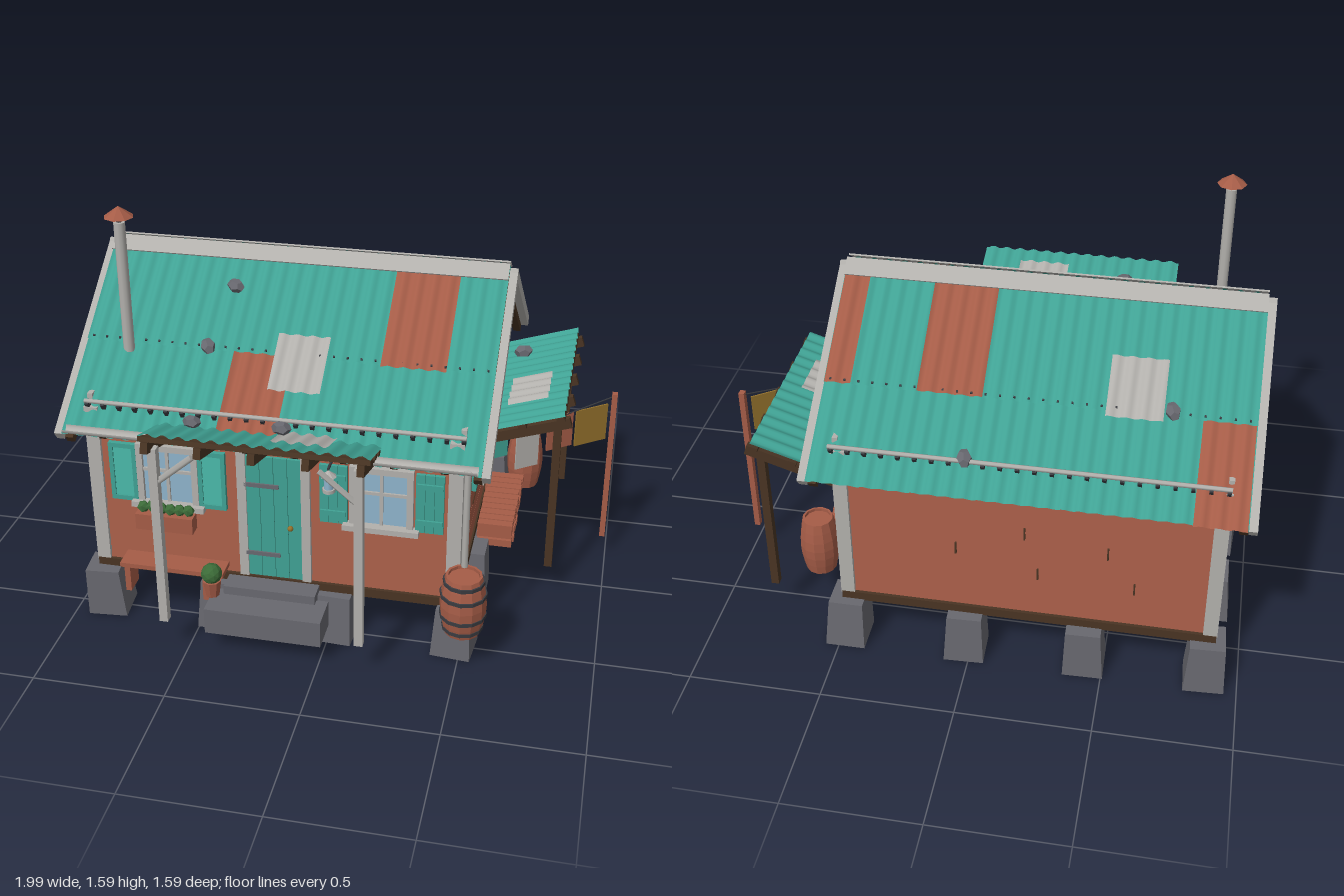
import * as THREE from 'three';

const mat = (name, color, side = THREE.FrontSide) => {
  const m = new THREE.MeshStandardMaterial({ color, side });
  m.name = name;
  return m;
};
const RUST = mat('rust red', 0xa55c47, THREE.DoubleSide);
const TEAL = mat('teal', 0x40a294, THREE.DoubleSide);
const TRIM = mat('pale grey', 0xb2b0ac, THREE.DoubleSide);
const DARK = mat('dark wood', 0x493423);
const STONE = mat('stone grey', 0x68686f);
const GLASS = mat('window blue', 0x8fb4cc);
const GOLD = mat('mustard', 0x94712c, THREE.DoubleSide);
const LEAF = mat('leaf green', 0x3c6b38);
const IRON = mat('dark iron', 0x3a3b40);

let seed = 7;
const rand = () => (seed = (seed * 16807) % 2147483647) / 2147483647;
const flat = (g) => { const n = g.index ? g.toNonIndexed() : g; n.computeVertexNormals(); return n; };

function add(parent, name, geo, material, x = 0, y = 0, z = 0) {
  const m = new THREE.Mesh(geo, material);
  m.name = name;
  m.position.set(x, y, z);
  parent.add(m);
  return m;
}
const box = (p, name, m, w, h, d, x, y, z) => add(p, name, new THREE.BoxGeometry(w, h, d), m, x, y, z);
function group(parent, name, x = 0, y = 0, z = 0, rx = 0, ry = 0) {
  const g = new THREE.Group();
  g.name = name;
  g.position.set(x, y, z);
  g.rotation.set(rx, ry, 0, 'YXZ');
  parent.add(g);
  return g;
}
// Round bar between two points
function bar(p, name, m, a, b, r, sides = 8) {
  const A = new THREE.Vector3(...a), B = new THREE.Vector3(...b), dir = B.clone().sub(A);
  const c = add(p, name, new THREE.CylinderGeometry(r, r, dir.length(), sides), m);
  c.position.copy(A).add(B).multiplyScalar(0.5);
  c.quaternion.setFromUnitVectors(new THREE.Vector3(0, 1, 0), dir.normalize());
}
// Corrugated sheet, ridges running along local z
function sheet(p, name, m, x0, x1, d0, d1, y) {
  const w = x1 - x0, g = new THREE.PlaneGeometry(w, d1 - d0, Math.ceil(w / 0.0097), 1).rotateX(-Math.PI / 2);
  g.translate((x0 + x1) / 2, y, (d0 + d1) / 2);
  const q = g.attributes.position;
  for (let i = 0; i < q.count; i++) q.setY(i, q.getY(i) + 0.006 * Math.cos(q.getX(i) * 2 * Math.PI / 0.058));
  g.computeVertexNormals();
  add(p, name, g, m);
}
function rock(p, name, x, y, z, r) {
  const s = add(p, name, flat(new THREE.DodecahedronGeometry(r)), STONE, x, y, z);
  s.scale.set(1.15, 0.75, 0.9);
  s.rotation.y = rand() * 3;
}
// Tapered, slightly uneven block
function pier(p, x, z) {
  const g = new THREE.BoxGeometry(0.15, 0.2, 0.15), q = g.attributes.position;
  const lean = (rand() - 0.5) * 0.02, turn = (rand() - 0.5) * 0.2;
  for (let i = 0; i < q.count; i++) if (q.getY(i) > 0) q.setXYZ(i, q.getX(i) * 0.86 + lean, q.getY(i), q.getZ(i) * 0.86 - lean);
  add(p, 'pier', flat(g), STONE, x, 0.1, z).rotation.y = turn;
}
function shutter(p, x, louvered) {
  const s = group(p, 'shutter', x, 0, 0.012);
  if (louvered) {
    for (const k of [-1, 1]) {
      box(s, 'shutterStile', TEAL, 0.016, 0.24, 0.018, k * 0.044, 0, 0);
      box(s, 'shutterRail', TEAL, 0.1, 0.018, 0.018, 0, k * 0.111, 0);
    }
    box(s, 'shutterBack', DARK, 0.08, 0.22, 0.004, 0, 0, -0.008);
    for (let i = 0; i < 8; i++) box(s, 'louver', TEAL, 0.075, 0.022, 0.005, 0, -0.089 + i * 0.0255, 0).rotation.x = -0.5;
  } else {
    for (let i = -1; i <= 1; i++) box(s, 'shutterPlank', TEAL, 0.033, 0.24, 0.014, i * 0.0345, 0, 0);
    for (const k of [-1, 1]) box(s, 'shutterBatten', TEAL, 0.095, 0.02, 0.01, 0, k * 0.075, 0.01);
  }
}
function windowUnit(p, x, y, z, ry, off, louvered) {
  const w = group(p, 'window', x, y, z, 0, ry);
  box(w, 'glass', GLASS, 0.2, 0.22, 0.008, 0, 0, 0.004);
  for (const k of [-1, 1]) {
    box(w, 'frameSide', TRIM, 0.024, 0.245, 0.025, k * 0.105, 0, 0.01);
    shutter(w, k * off, louvered);
  }
  box(w, 'frameTop', TRIM, 0.234, 0.024, 0.025, 0, 0.115, 0.01);
  box(w, 'sill', TRIM, 0.28, 0.022, 0.045, 0, -0.122, 0.02);
  box(w, 'mullion', TRIM, 0.012, 0.22, 0.014, 0, 0, 0.009);
  box(w, 'crossbar', TRIM, 0.2, 0.012, 0.014, 0, 0.02, 0.009);
}
function barrel(p, x, z, r, hoops) {
  const b = group(p, 'barrel', x, 0.16, z), H = 0.24;
  const rad = (t) => r * (0.78 + 0.22 * Math.sin(t * Math.PI));
  const pts = [[0, 0]];
  for (let i = 0; i <= 6; i++) pts.push([rad(i / 6), H * i / 6]);
  pts.push([rad(1) * 0.86, H], [rad(1) * 0.86, H - 0.012], [0, H - 0.012]);
  add(b, 'staves', flat(new THREE.LatheGeometry(pts.map((q) => new THREE.Vector2(...q)), 12)), RUST);
  if (hoops) for (const t of [0.1, 0.32, 0.68, 0.9])
    add(b, 'hoop', flat(new THREE.CylinderGeometry(rad(t) + 0.004, rad(t) + 0.004, 0.014, 12)), IRON, 0, t * H, 0);
}
// Lean-to roof: sheet, rafters and beams, local z running outward
function canopy(p, name, x, y, z, tilt, ry, x0, x1, len) {
  const c = group(p, name, x, y, z, -tilt, ry), w = x1 - x0, mid = (x0 + x1) / 2;
  sheet(c, 'canopySheet', TEAL, x0, x1, 0, len, 0);
  for (let i = 0; i < 5; i++) box(c, 'canopyRafter', DARK, 0.026, 0.04, len + 0.01, x0 + 0.03 + i * (w - 0.06) / 4, -0.045, len / 2 + 0.005);
  for (const d of [0.04, len / 2, len - 0.02]) box(c, 'canopyPurlin', DARK, w, 0.018, 0.03, mid, -0.017, d);
  return c;
}

export function createModel() {
  const house = new THREE.Group();
  house.name = 'cabin';
  const CX = -0.21, CZ = -0.08, RIDGE = -0.085, SL = 0.715, TH = Math.atan(SL), COS = Math.cos(TH);

  // Foundation piers, floor and steps
  const px = [-0.875, -0.43, 0.02, 0.475], pz = [0.505, 0.11, -0.285, -0.67];
  px.forEach((x, i) => pz.forEach((z, j) => { if (i % 3 === 0 || j % 3 === 0) pier(house, x, z); }));
  box(house, 'lowerStep', STONE, 0.44, 0.105, 0.14, -0.21, 0.138, 0.65);
  box(house, 'upperStep', STONE, 0.35, 0.1, 0.1, -0.21, 0.175, 0.56);
  box(house, 'floorCore', DARK, 1.34, 0.02, 1.14, CX, 0.22, CZ);
  for (let i = 0; i < 16; i++) box(house, 'floorPlank', RUST, 1.32, 0.012, 0.067, CX, 0.206, -0.62 + i * 0.072);
  for (const k of [-1, 1]) {
    box(house, 'sillBeam', DARK, 1.39, 0.036, 0.05, CX, 0.214, CZ + k * 0.585);
    box(house, 'sillBeam', DARK, 0.05, 0.036, 1.22, CX + k * 0.672, 0.214, CZ);
  }

  // Wall core with gables
  const half = (y) => Math.min(0.585, (1.268 - y) / SL);
  const slab = (y0, y1, depth) => {
    const s = new THREE.Shape();
    const ys = y0 < 0.85 && y1 > 0.85 ? [y0, 0.85, y1] : [y0, y1];
    ys.forEach((y, i) => (i ? s.lineTo(half(y), y) : s.moveTo(half(y), y)));
    ys.reverse().forEach((y) => s.lineTo(-half(y), y));
    return new THREE.ExtrudeGeometry(s, { depth, bevelEnabled: false }).rotateY(Math.PI / 2);
  };
  add(house, 'wallCore', slab(0.225, 1.266, 1.352), DARK, -0.886, 0, RIDGE);
  // Gable siding, bands and vents
  for (const k of [-1, 1]) {
    const x = k > 0 ? 0.464 : -0.9;
    for (let y = 0.232; y < 1.24; y += 0.08) add(house, 'gableBoard', slab(y, Math.min(y + 0.0765, 1.262), 0.016), RUST, x, 0, RIDGE);
    const f = CX + k * 0.69;
    box(house, 'gableBand', TRIM, 0.02, 0.036, 1.14, f, 0.9, RIDGE);
    box(house, 'ventFrame', TRIM, 0.022, 0.088, 0.11, f, 1.088, RIDGE);
    for (let i = 0; i < 4; i++) box(house, 'ventSlat', TEAL, 0.012, 0.014, 0.09, f + k * 0.009, 1.06 + i * 0.0185, RIDGE);
    for (const j of [-1, 1]) box(house, 'cornerPost', TRIM, 0.052, 0.66, 0.052, CX + k * 0.674, 0.555, CZ + j * 0.583);
    // Lapped siding on the long walls
    for (let i = 0; i < 12; i++)
      box(house, 'lapBoard', RUST, 1.34, 0.058, 0.012, CX, 0.258 + i * 0.053, CZ + k * 0.588).rotation.x = -k * 0.13;
  }
  // Weathered plank splits and patches
  for (const [x, y] of [[-0.6, 0.4], [-0.5, 0.55], [-0.2, 0.6], [-0.25, 0.42], [0.05, 0.5]])
    box(house, 'plankSeam', DARK, 0.006, 0.05, 0.008, x, y, -0.678);
  for (const [y, z, w] of [[0.48, -0.34, 0.17], [0.6, -0.3, 0.14], [0.4, 0.02, 0.2]])
    box(house, 'wallSplit', DARK, 0.006, 0.007, w, 0.48, y, z);
  box(house, 'wallPatch', TRIM, 0.008, 0.035, 0.22, -0.903, 0.46, -0.42);
  box(house, 'wallPatch', RUST, 0.008, 0.035, 0.26, -0.903, 0.32, 0.1);

  // Roof slopes; x is mirrored on the back one
  for (const k of [1, -1]) {
    const s = group(house, k > 0 ? 'frontRoof' : 'backRoof', 0, 1.31, RIDGE, TH, k > 0 ? 0 : Math.PI);
    const X = (a, b) => (k > 0 ? [a, b] : [-b, -a]);
    const L = 0.695 / COS, seam = (k > 0 ? 0.375 : 0.395) / COS;
    const put = (name, m, a, b, z0, z1, y) => sheet(s, name, m, ...X(a, b), z0 / COS, z1 / COS, y);
    put('upperSheet', TEAL, -0.97, 0.56, 0, seam * COS, 0.008);
    put('lowerSheet', TEAL, -0.97, 0.56, seam * COS - 0.02, 0.695, 0);
    if (k > 0) {
      put('rustSheet', RUST, 0.145, 0.385, 0.01, 0.38, 0.012);
      put('rustSheet', RUST, -0.4, -0.18, 0.36, 0.655, 0.007);
      put('greySheet', TRIM, -0.245, -0.05, 0.305, 0.495, 0.018);
    } else {
      put('rustSheet', RUST, -0.967, -0.785, 0.395, 0.7, 0.005);
      put('rustSheet', RUST, -0.015, 0.22, 0.01, 0.395, 0.012);
      put('rustSheet', RUST, 0.46, 0.558, 0.01, 0.395, 0.012);
      put('greySheet', TRIM, -0.65, -0.45, 0.23, 0.415, 0.018);
    }
    const c = k * -0.205;
    box(s, 'roofDeck', DARK, 1.52, 0.012, L - 0.02, c, -0.018, L / 2 - 0.01);
    box(s, 'ridgeCap', TRIM, 1.53, 0.006, 0.07, c, 0.019, 0.035);
    for (const e of [-1, 1]) {
      box(s, 'bargeBoard', TRIM, 0.03, 0.042, L, c + e * 0.78, -0.028, L / 2);
      box(s, 'bargeRafter', DARK, 0.03, 0.034, L - 0.01, c + e * 0.75, -0.06, L / 2);
    }
    for (let i = 0; i < 8; i++) box(s, 'rafterTail', DARK, 0.026, 0.045, 0.25, c - 0.63 + i * 0.18, -0.045, 0.705);
    // Snow guard with clips
    const d = 0.593 / COS;
    bar(s, 'snowGuard', TRIM, [c - 0.7, 0.028, d], [c + 0.7, 0.028, d], 0.009, 6);
    for (let i = 0; i < 24; i++) box(s, 'guardClip', IRON, 0.014, 0.03, 0.018, c - 0.69 + i * 0.06, 0.014, d + 0.006);
    for (let i = 0; i < 30; i++) box(s, 'nail', IRON, 0.007, 0.006, 0.007, c - 0.74 + i * 0.051, 0.013, seam - 0.012);
    const stones = k > 0 ? [[-0.445, 0.16], [-0.495, 0.375]] : [[0.68, 0.385], [-0.01, 0.585]];
    for (const [x, z] of stones) rock(s, 'roofStone', x, 0.032, z / COS, 0.031);
  }
  // Gutter and downspout
  add(house, 'gutter', new THREE.CylinderGeometry(0.022, 0.022, 1.5, 8, 1, true, 0, Math.PI).rotateZ(-Math.PI / 2), TRIM, -0.2, 0.848, 0.625);
  bar(house, 'downspout', TRIM, [0.515, 0.835, 0.62], [0.515, 0.44, 0.61], 0.012);

  // Stove pipe
  bar(house, 'stovePipe', TRIM, [-0.803, 1.02, 0.305], [-0.803, 1.525, 0.305], 0.021, 10);
  bar(house, 'pipeStay', IRON, [-0.803, 1.52, 0.305], [-0.803, 1.55, 0.305], 0.01, 6);
  add(house, 'pipeCap', flat(new THREE.ConeGeometry(0.055, 0.04, 8)), RUST, -0.803, 1.565, 0.305);

  // Front canopy with posts and braces
  const porch = canopy(house, 'frontCanopy', 0, 0.872, 0.57, 0.31, 0, -0.615, 0.205, 0.212);
  sheet(porch, 'greySheet', TRIM, -0.16, 0.045, -0.02, 0.14, 0.01);
  rock(porch, 'canopyStone', -0.475, 0.026, 0.035, 0.032);
  rock(porch, 'canopyStone', -0.15, 0.034, 0.03, 0.034);
  for (const [x, k] of [[-0.572, 1], [0.16, -1]]) {
    box(house, 'porchPost', TRIM, 0.032, 0.73, 0.034, x, 0.51, 0.745);
    bar(house, 'porchBrace', TRIM, [x, 0.73, 0.745], [x + k * 0.14, 0.85, 0.745], 0.012, 4);
  }

  // Side canopy with posts
  const lean = canopy(house, 'sideCanopy', 0.49, 0.728, 0, 0.315, Math.PI / 2, -0.14, 0.635, 0.335);
  sheet(lean, 'greySheet', TRIM, 0.03, 0.24, 0.1, 0.26, 0.01);
  rock(lean, 'canopyStone', 0.45, 0.03, 0.125, 0.036);
  for (const z of [0.095, -0.585]) box(house, 'sidePost', DARK, 0.03, 0.62, 0.03, 0.785, 0.45, z);

  // Clothesline and washing
  box(house, 'linePost', RUST, 0.022, 0.655, 0.026, 0.982, 0.43, -0.222);
  bar(house, 'clothesline', IRON, [0.49, 0.725, 0.152], [0.8, 0.718, -0.078], 0.003, 5);
  bar(house, 'clothesline', IRON, [0.8, 0.718, -0.078], [0.982, 0.745, -0.222], 0.003, 5);
  for (const [x, w, h, m] of [[0.562, 0.09, 0.12, TEAL], [0.67, 0.1, 0.195, TRIM], [0.785, 0.115, 0.145, RUST], [0.9, 0.145, 0.155, GOLD]])
    box(house, 'washing', m, w, h, 0.006, x, 0.722 - h / 2, 0.152 - (x - 0.49) * 0.748).rotation.y = 0.64;

  // Door
  const door = group(house, 'door', -0.203, 0, 0.512);
  for (let i = 0; i < 4; i++) box(door, 'doorPlank', TEAL, 0.05, 0.515, 0.018, -0.078 + i * 0.052, 0.492, 0.004);
  for (const k of [-1, 1]) {
    box(door, 'doorJamb', TRIM, 0.034, 0.545, 0.03, k * 0.12, 0.505, 0.005);
    box(door, 'hingeStrap', STONE, 0.13, 0.016, 0.008, -0.045, 0.483 + k * 0.148, 0.016);
  }
  box(door, 'doorHeader', TRIM, 0.375, 0.06, 0.036, 0, 0.802, 0.008);
  add(door, 'doorKnob', new THREE.SphereGeometry(0.011, 10, 8), GOLD, 0.063, 0.465, 0.025);

  // Windows on three sides
  windowUnit(house, -0.605, 0.628, 0.512, 0, 0.17, true);
  windowUnit(house, 0.197, 0.628, 0.512, 0, 0.176, false);
  windowUnit(house, 0.48, 0.625, -0.008, Math.PI / 2, 0.16, true);
  windowUnit(house, -0.9, 0.625, -0.06, -Math.PI / 2, 0.165, true);

  // Flower box
  box(house, 'flowerBox', RUST, 0.22, 0.065, 0.055, -0.61, 0.455, 0.562);
  for (let i = 0; i < 6; i++) add(house, 'flowers', flat(new THREE.IcosahedronGeometry(0.024)), LEAF, -0.695 + i * 0.035, 0.503 + rand() * 0.012, 0.562);

  // Lantern by the door
  bar(house, 'lanternArm', IRON, [0.012, 0.755, 0.5], [0.012, 0.755, 0.57], 0.005, 6);
  add(house, 'lanternCap', flat(new THREE.ConeGeometry(0.03, 0.025, 8)), TRIM, 0.012, 0.735, 0.562);
  add(house, 'lanternGlass', new THREE.CylinderGeometry(0.018, 0.018, 0.05, 8), GLASS, 0.012, 0.698, 0.562);
  add(house, 'lanternBase', new THREE.CylinderGeometry(0.024, 0.024, 0.014, 8), TRIM, 0.012, 0.666, 0.562);

  // Bench and potted plant
  box(house, 'benchSeat', RUST, 0.4, 0.018, 0.09, -0.58, 0.28, 0.585);
  for (const x of [-0.755, -0.45]) box(house, 'benchLeg', RUST, 0.022, 0.11, 0.08, x, 0.218, 0.585);
  add(house, 'plantPot', flat(new THREE.CylinderGeometry(0.036, 0.026, 0.065, 8)), RUST, -0.415, 0.245, 0.65);
  add(house, 'potPlant', flat(new THREE.IcosahedronGeometry(0.04, 1)), LEAF, -0.415, 0.305, 0.65);

  // Barrels and firewood
  barrel(house, 0.515, 0.605, 0.086, true);
  barrel(house, 0.63, -0.483, 0.075, false);
  for (let r = 0; r < 3; r++) for (let i = 0; i < 10; i++)
    box(house, 'firewood', RUST, 0.13 + rand() * 0.02, 0.03, 0.036, 0.565, 0.185 + r * 0.034, 0.035 - i * 0.0415 - (r % 2) * 0.008);
  return house;
}
